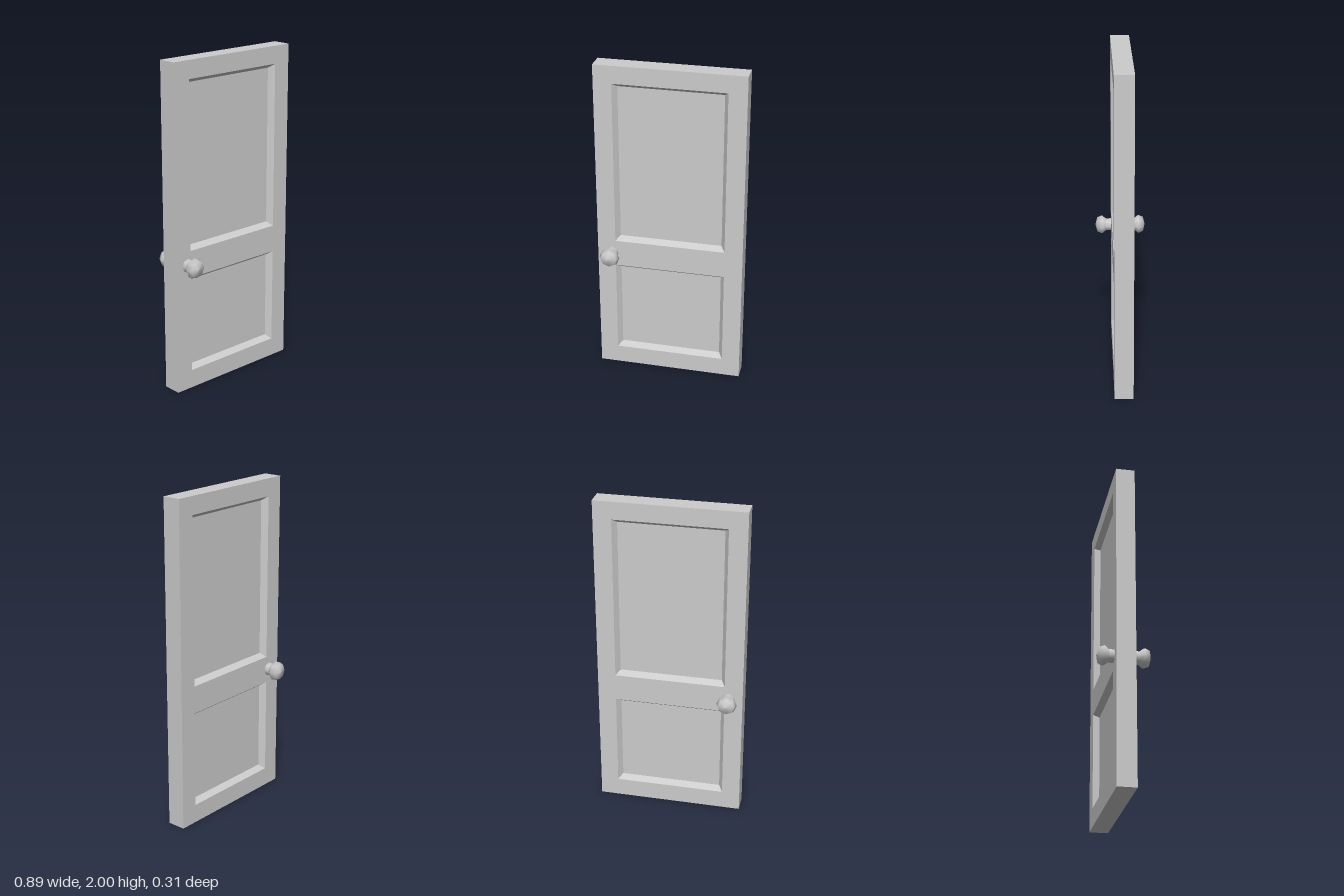
import * as THREE from 'three';

const W = 0.447, H = 2, T = 0.057;         // half width, height, half thickness
const PX = 0.337, BEVEL = 0.025, DEPTH = 0.036;
const PANELS = { upperPanel: [0.88, 1.893], lowerPanel: [0.115, 0.712] };

const rectPoints = (x, y0, y1) => [[-x, y0], [x, y0], [x, y1], [-x, y1]];
const toVectors = (pts) => pts.map(([x, y]) => new THREE.Vector2(x, y));

// Sunken panel: four mitred sloping borders around a flat field
function panelGeometry(y0, y1) {
  const outer = rectPoints(PX, y0, y1).map(([x, y]) => [x, y, T]);
  const inner = rectPoints(PX - BEVEL, y0 + BEVEL, y1 - BEVEL).map(([x, y]) => [x, y, T - DEPTH]);
  const pos = [];
  const quad = (a, b, c, d) => pos.push(...a, ...b, ...c, ...a, ...c, ...d);
  for (let i = 0; i < 4; i++) {
    const j = (i + 1) % 4;
    quad(outer[i], outer[j], inner[j], inner[i]);
  }
  quad(...inner);
  const g = new THREE.BufferGeometry();
  g.setAttribute('position', new THREE.Float32BufferAttribute(pos, 3));
  g.computeVertexNormals();
  return g;
}

export function createModel() {
  const door = new THREE.Group();
  door.name = 'door';
  const mat = new THREE.MeshStandardMaterial({ color: 0xcccccc });
  const add = (parent, name, geometry) => {
    const mesh = new THREE.Mesh(geometry, mat);
    mesh.name = name;
    parent.add(mesh);
    return mesh;
  };

  // Stiles and rails, open where the panels sit
  const outline = new THREE.Shape(toVectors(rectPoints(W, 0, H)));
  for (const [y0, y1] of Object.values(PANELS)) {
    outline.holes.push(new THREE.Path(toVectors(rectPoints(PX, y0, y1))));
  }
  const frame = new THREE.ExtrudeGeometry(outline, { depth: 2 * T, bevelEnabled: false });
  add(door, 'frame', frame.translate(0, 0, -T));

  // Each face carries two panels and a knob
  for (const side of [1, -1]) {
    const face = new THREE.Group();
    face.name = side > 0 ? 'frontFace' : 'backFace';
    if (side < 0) face.rotation.y = Math.PI;
    door.add(face);

    for (const [name, [y0, y1]] of Object.entries(PANELS)) add(face, name, panelGeometry(y0, y1));

    const knob = new THREE.Group();
    knob.name = 'doorknob';
    knob.position.set(-0.36 * side, 0.795, 0);
    knob.rotation.x = Math.PI / 2;
    face.add(knob);
    add(knob, 'stem', new THREE.CylinderGeometry(0.041, 0.041, 0.034, 8, 1, true).translate(0, T + 0.015, 0));
    const profile = toVectors([[0.038, 0.086], [0.062, 0.116], [0.049, 0.145], [0, 0.157]]);
    add(knob, 'knobHead', new THREE.LatheGeometry(profile, 8));
  }
  return door;
}
